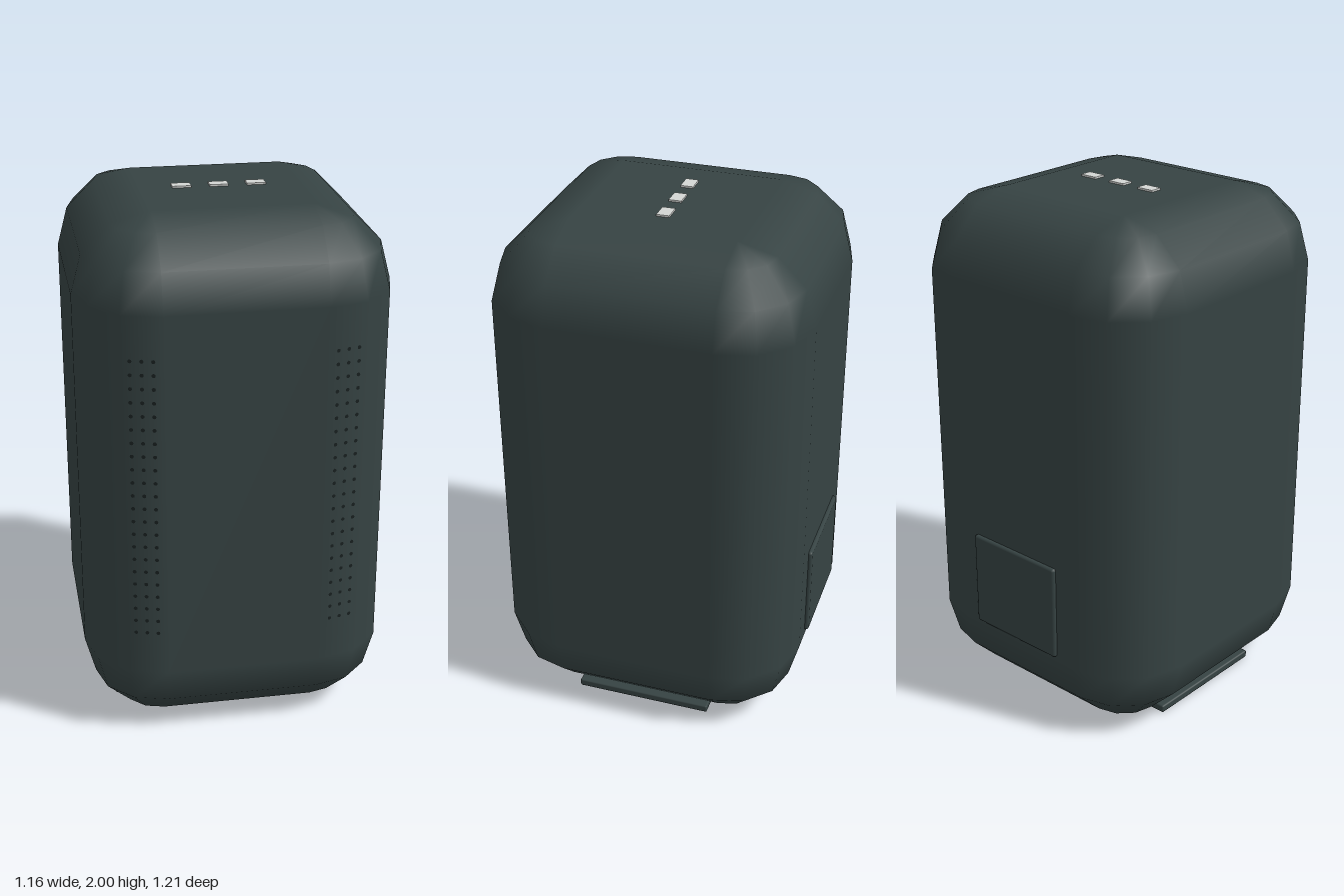
import * as THREE from 'three';
import { mergeGeometries } from 'three/addons/utils/BufferGeometryUtils.js';
import { RoundedBoxGeometry } from 'three/addons/geometries/RoundedBoxGeometry.js';

const R = 0.29, STEPS = 3;           // edge radius and facets per rounded edge
const HALF_X = 0.58, HALF_Z = 0.5975, MID_Z = 0.0075, TOP = 1.993;

// Box with all edges rounded in even steps, built ring by ring from the bottom up
function bodyGeometry() {
  const pos = [], nor = [], index = [], ring = 4 * (STEPS + 1);
  const cy = TOP / 2, hy = TOP / 2;
  for (const half of [-1, 1]) {
    for (let i = 0; i <= STEPS; i++) {
      const lat = (Math.PI / 2) * (half < 0 ? i / STEPS - 1 : i / STEPS);
      for (let q = 0; q < 4; q++) {
        const sx = q === 0 || q === 3 ? 1 : -1, sz = q < 2 ? 1 : -1;
        for (let j = 0; j <= STEPS; j++) {
          const a = (q + j / STEPS) * Math.PI / 2;
          const n = [Math.cos(lat) * Math.cos(a), Math.sin(lat), Math.cos(lat) * Math.sin(a)];
          nor.push(...n);
          pos.push(sx * (HALF_X - R) + R * n[0],
            cy + half * (hy - R) + R * n[1],
            MID_Z + sz * (HALF_Z - R) + R * n[2]);
        }
      }
    }
  }
  const rows = 2 * (STEPS + 1);
  for (let r = 0; r < rows - 1; r++) {
    for (let c = 0; c < ring; c++) {
      const a = r * ring + c, b = r * ring + (c + 1) % ring;
      index.push(a, a + ring, b, b, a + ring, b + ring);
    }
  }
  // Flat bottom and top
  const k = STEPS + 1, t = (rows - 1) * ring;
  index.push(0, k, 2 * k, 0, 2 * k, 3 * k);
  index.push(t, t + 2 * k, t + k, t, t + 3 * k, t + 2 * k);
  const g = new THREE.BufferGeometry();
  g.setAttribute('position', new THREE.Float32BufferAttribute(pos, 3));
  g.setAttribute('normal', new THREE.Float32BufferAttribute(nor, 3));
  g.setIndex(index);
  return g;
}

// Three columns of small round holes lying on the rounded front edge
function grilleGeometry(side) {
  const dots = [], slope = Math.PI / 12;
  for (const x of [0.326, 0.366, 0.406]) {
    const z = MID_Z + HALF_Z - (x - (HALF_X - R)) * Math.tan(slope) + 0.002;
    for (let i = 0; i < 22; i++) {
      dots.push(new THREE.CircleGeometry(0.0075, 8)
        .rotateY(side * slope)
        .translate(side * x, 0.46 + i * 1.08 / 21, z));
    }
  }
  return mergeGeometries(dots);
}

export function createModel() {
  const group = new THREE.Group();
  const shell = new THREE.MeshStandardMaterial({ name: 'dark slate shell', color: 0x364343 });
  const hole = new THREE.MeshStandardMaterial({ name: 'hole black', color: 0x182020 });
  const light = new THREE.MeshStandardMaterial({ name: 'light grey', color: 0xd4d6d4 });

  const add = (name, geometry, material, x = 0, y = 0, z = 0) => {
    const mesh = new THREE.Mesh(geometry, material);
    mesh.name = name;
    mesh.position.set(x, y, z);
    group.add(mesh);
  };

  add('body', bodyGeometry(), shell);

  // Mirrored grilles and feet
  for (const [side, label] of [[1, 'left'], [-1, 'right']]) {
    add(label + 'Grille', grilleGeometry(side), hole);
    add(label + 'Foot', new RoundedBoxGeometry(0.16, 0.03, 0.54, 1, 0.006), shell,
      side * 0.383, 0.017, 0.0075);
  }

  // Cover plate low on the back
  add('backCover', new RoundedBoxGeometry(0.42, 0.38, 0.04, 1, 0.01), shell, 0, 0.502, -0.585);

  // Three indicator lights on top
  for (const i of [-1, 0, 1]) {
    add('indicatorLight', new THREE.BoxGeometry(0.07, 0.009, 0.048), light,
      i * 0.139, 1.9955, 0.0065);
  }
  return group;
}
